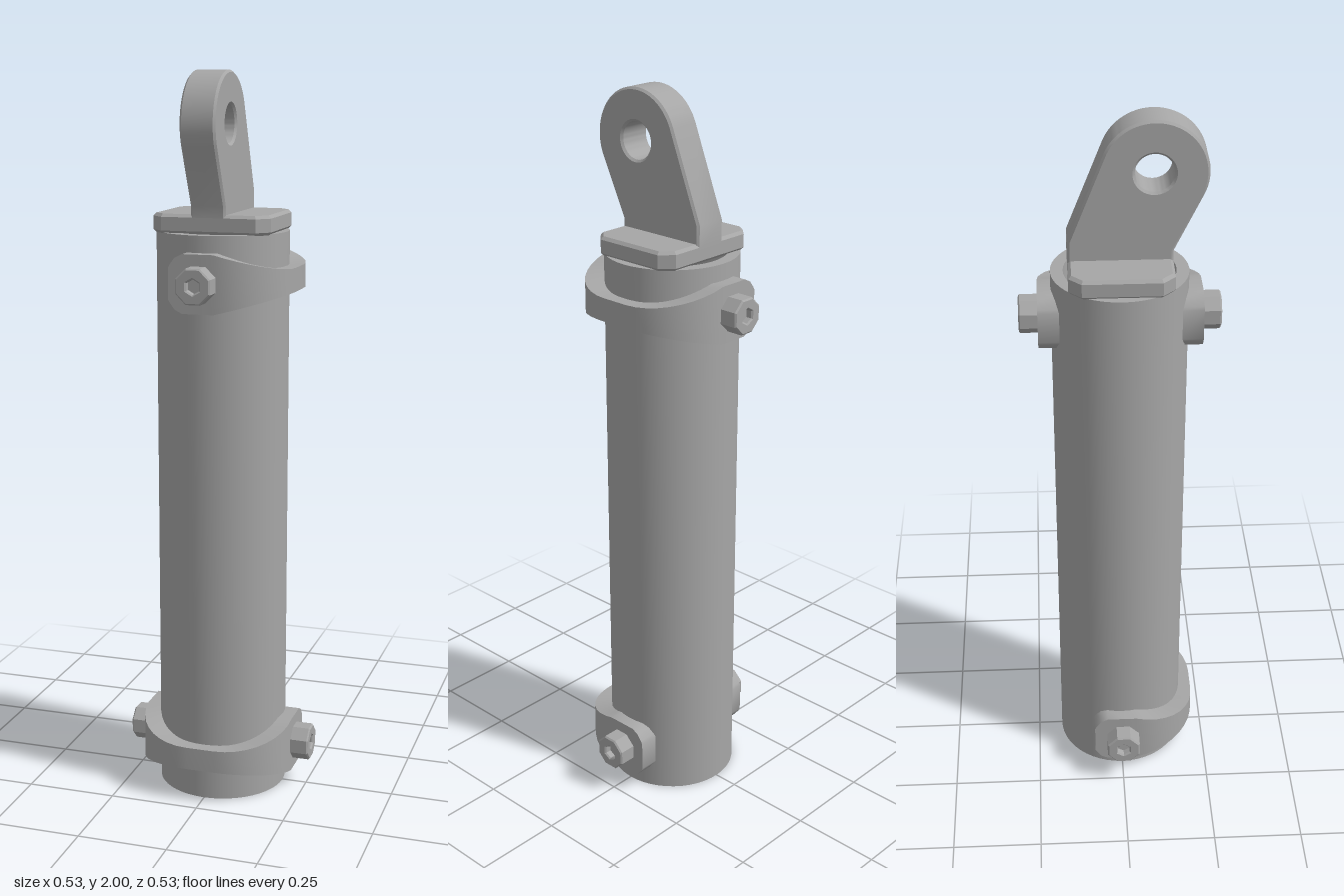
import * as THREE from 'three';
import { toCreasedNormals } from 'three/addons/utils/BufferGeometryUtils.js';

const steel = new THREE.MeshStandardMaterial({ color: 0xa6a6a6 });
steel.name = 'steelGrey';

function part(name, geometry, crease = 0.6) {
  const mesh = new THREE.Mesh(toCreasedNormals(geometry, crease), steel);
  mesh.name = name;
  return mesh;
}

// Regular polygon outline, used for bolt heads and sockets
function polygon(shape, sides, r) {
  const pts = [];
  for (let i = 0; i < sides; i++) {
    const a = ((i + 0.5) / sides) * Math.PI * 2;
    pts.push(new THREE.Vector2(r * Math.cos(a), r * Math.sin(a)));
  }
  return shape.setFromPoints(pts);
}

// U-shaped strap around the +x side, tall at the bolted ears, narrow at the bend
function strapGeometry() {
  const W = 0.215, S = 0.04, R = 0.176;
  const half = [];
  for (const x of [-0.083, -0.078, -0.065, -0.045, 0, S]) {
    half.push([x, W, x, Math.sqrt(R * R - x * x)]);
  }
  const a0 = Math.asin(S / R), steps = 9;
  for (let i = 1; i <= steps; i++) {
    const t = i / steps, b = (t * Math.PI) / 2;
    const a = a0 + t * (Math.PI / 2 - 2 * a0);
    half.push([S + (W - S) * Math.sin(b), S + (W - S) * Math.cos(b), R * Math.sin(a), R * Math.cos(a)]);
  }
  const path = half.concat(half.slice().reverse().map(([a, b, c, d]) => [a, -b, c, -d]));
  const height = (x) => {
    if (x < -0.045) return 0.078 - 0.036 * Math.pow((-0.045 - x) / 0.038, 2);
    return x < S ? 0.078 : 0.078 - 0.046 * ((x - S) / (W - S));
  };
  const pos = [], idx = [];
  path.forEach(([ox, oz, ix, iz], i) => {
    const h = height(ox);
    pos.push(ox, h, oz, ox, -h, oz, ix, -h, iz, ix, h, iz);
    if (i === path.length - 1) return;
    for (let k = 0; k < 4; k++) {
      const a = i * 4 + k, b = i * 4 + ((k + 1) % 4);
      idx.push(a, b, b + 4, a, b + 4, a + 4);
    }
  });
  const e = (path.length - 1) * 4;
  idx.push(0, 2, 1, 0, 3, 2, e, e + 1, e + 2, e, e + 2, e + 3);
  const g = new THREE.BufferGeometry();
  g.setAttribute('position', new THREE.Float32BufferAttribute(pos, 3));
  g.setIndex(idx);
  return g;
}

// Bolt pointing along +z, with a socket in the head
function bolt() {
  const group = new THREE.Group();
  group.name = 'bolt';
  const outline = polygon(new THREE.Shape(), 8, 0.051);
  outline.holes.push(polygon(new THREE.Path(), 6, 0.02));
  const head = new THREE.ExtrudeGeometry(outline, {
    depth: 0.047, bevelEnabled: true, bevelSize: 0.004, bevelThickness: 0.004, bevelOffset: -0.004, bevelSegments: 1,
  });
  head.translate(0, 0, 0.214);
  const shank = new THREE.CylinderGeometry(0.022, 0.022, 0.11, 12);
  shank.rotateX(Math.PI / 2).translate(0, 0, 0.19);
  group.add(part('boltHead', head, 0.4), part('boltShank', shank));
  return group;
}

function clamp(name, y, turn) {
  const group = new THREE.Group();
  group.name = name;
  group.add(part('strap', strapGeometry()));
  for (const angle of [0, Math.PI]) {
    const b = bolt();
    b.rotation.y = angle;
    group.add(b);
  }
  group.position.y = y;
  group.rotation.y = turn;
  return group;
}

export function createModel() {
  const model = new THREE.Group();
  model.name = 'clampedTube';

  // Hollow tube, open at both ends
  const profile = [[0.147, 0], [0.18, 0], [0.18, 1.58], [0.147, 1.58], [0.147, 0]];
  model.add(part('tube', new THREE.LatheGeometry(profile.map(([r, y]) => new THREE.Vector2(r, y)), 48)));

  // Strap clamps, a quarter turn apart
  model.add(clamp('upperClamp', 1.457, 0), clamp('lowerClamp', 0.128, -Math.PI / 2));

  // Cap plate with cut corners
  const X = 0.163, Z = 0.135, C = 0.033;
  const plate = new THREE.Shape([
    [X - C, -Z], [X, -Z + C], [X, Z - C], [X - C, Z], [-X + C, Z], [-X, Z - C], [-X, -Z + C], [-X + C, -Z],
  ].map(([x, z]) => new THREE.Vector2(x, z)));
  const plateGeometry = new THREE.ExtrudeGeometry(plate, {
    depth: 0.036, bevelEnabled: true, bevelSize: 0.008, bevelThickness: 0.008, bevelOffset: -0.008, bevelSegments: 1,
  });
  plateGeometry.rotateX(-Math.PI / 2).translate(0, 1.586, 0);
  model.add(part('capPlate', plateGeometry, 0.4));

  // Leaning lug with a pin hole
  const lug = new THREE.Shape();
  const deg = Math.PI / 180;
  lug.moveTo(-0.135, 1.61);
  lug.lineTo(0.135, 1.61);
  lug.lineTo(0.135, 1.652);
  lug.absarc(0.085, 1.863, 0.137, -26 * deg, 160 * deg, false);
  lug.lineTo(-0.135, 1.68);
  const hole = new THREE.Path();
  hole.absarc(0.085, 1.863, 0.05, 0, Math.PI * 2, true);
  lug.holes.push(hole);
  const lugGeometry = new THREE.ExtrudeGeometry(lug, {
    depth: 0.084, curveSegments: 24, bevelEnabled: true, bevelSize: 0.006, bevelThickness: 0.006, bevelOffset: -0.006, bevelSegments: 1,
  });
  lugGeometry.translate(0, 0, -0.042).rotateY(-Math.PI / 2);
  model.add(part('lug', lugGeometry, 0.5));

  return model;
}
